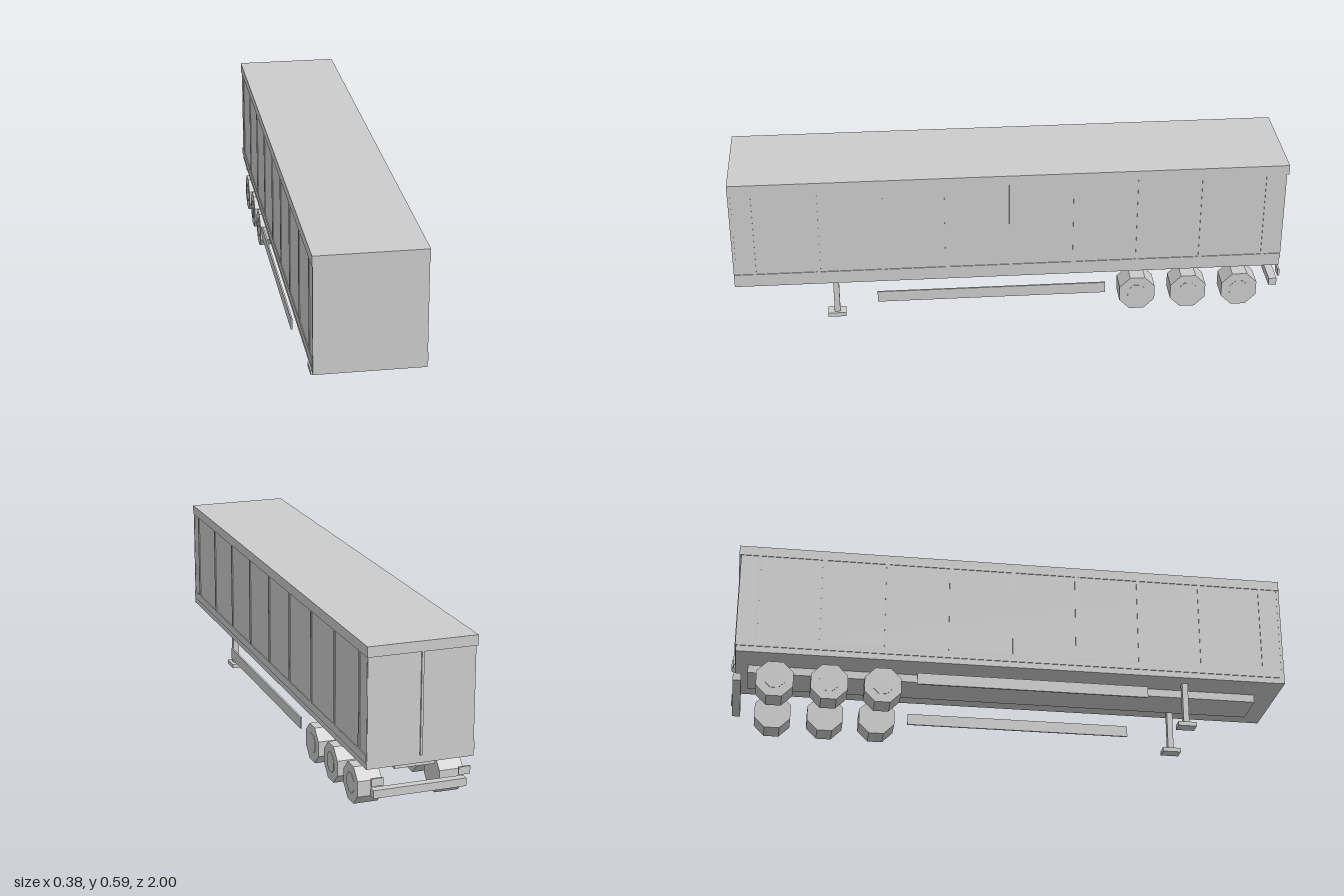
import * as THREE from 'three';

export function createModel() {
  const trailer = new THREE.Group();
  trailer.name = 'boxTrailer';
  const grey = new THREE.MeshStandardMaterial({ color: 0xcccccc, flatShading: true });
  grey.name = 'lightGrey';

  const add = (name, geometry, x, y, z) => {
    const mesh = new THREE.Mesh(geometry, grey);
    mesh.name = name;
    mesh.position.set(x, y, z);
    trailer.add(mesh);
    return mesh;
  };
  // box given by its limits on each axis
  const box = (name, [x0, x1], [y0, y1], [z0, z1]) =>
    add(name, new THREE.BoxGeometry(x1 - x0, y1 - y0, z1 - z0),
      (x0 + x1) / 2, (y0 + y1) / 2, (z0 + z1) / 2);
  // the same box on both sides
  const pair = (name, [x0, x1], y, z) => {
    box(name + 'Left', [x0, x1], y, z);
    box(name + 'Right', [-x1, -x0], y, z);
  };

  // cargo box with roof cap and lower side rails
  box('cargoBody', [-0.187, 0.187], [0.171, 0.57], [-0.99, 0.998]);
  box('roofCap', [-0.19, 0.19], [0.552, 0.588], [-1, 1]);
  pair('lowerRail', [0.18, 0.19], [0.193, 0.222], [-0.99, 0.998]);
  box('frontPanel', [-0.188, 0.188], [0.171, 0.57], [0.99, 1]);

  // upright ribs along the sides
  for (let i = 0; i < 9; i++) {
    const z = 0.925 - i * 0.23125;
    pair('sideRib', [0.18, 0.19], [0.22, 0.554], [z - 0.006, z + 0.006]);
  }

  // rear doors and the bar between them
  pair('rearDoor', [0, 0.186], [0.198, 0.555], [-0.993, -0.985]);
  box('doorBar', [-0.004, 0.004], [0.2, 0.555], [-0.999, -0.985]);

  // chassis, landing legs and side guards
  box('chassis', [-0.072, 0.072], [0.142, 0.175], [-0.945, 0.915]);
  pair('landingLeg', [0.115, 0.138], [0.01, 0.175], [0.627, 0.648]);
  pair('landingFoot', [0.103, 0.148], [0, 0.016], [0.605, 0.672]);
  pair('sideGuard', [0.183, 0.189], [0.084, 0.126], [-0.348, 0.487]);

  // three rows of eight-sided wheels with shallow hubs
  const wheel = new THREE.CylinderGeometry(0.0705, 0.0705, 0.085, 8);
  wheel.rotateY(Math.PI / 8).rotateZ(Math.PI / 2);
  const hub = new THREE.CylinderGeometry(0.037, 0.037, 0.01, 8);
  hub.rotateY(Math.PI / 8).rotateZ(Math.PI / 2);
  for (const z of [-0.468, -0.657, -0.848]) {
    for (const side of [-1, 1]) {
      add('wheel', wheel, side * 0.1445, 0.073, z);
      add('hub', hub, side * 0.1835, 0.073, z);
    }
  }

  // rear bumper and tail lights
  box('rearBumper', [-0.163, 0.163], [0.069, 0.097], [-0.994, -0.965]);
  pair('tailLight', [0.132, 0.173], [0.114, 0.141], [-1, -0.993]);

  return trailer;
}
